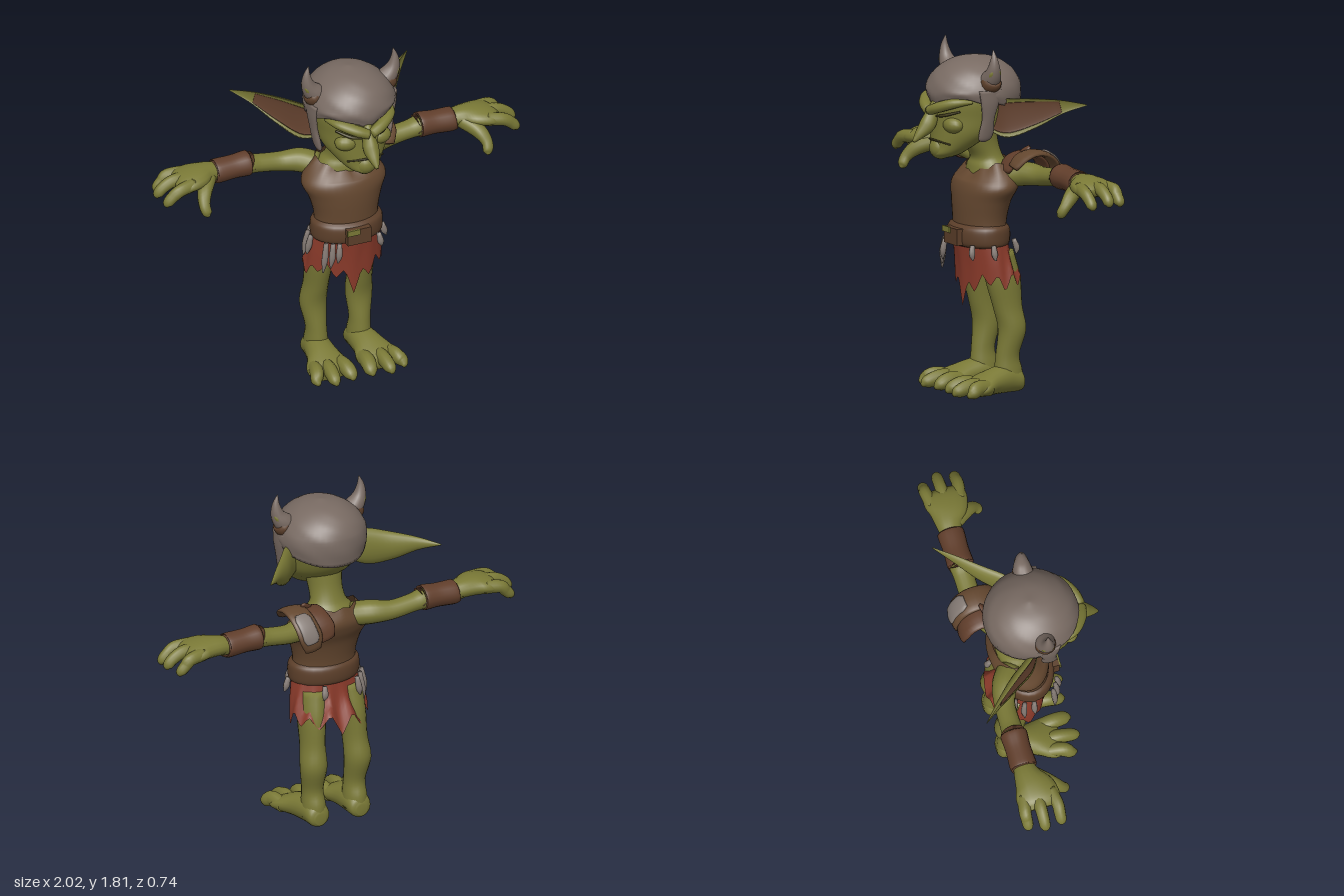
import * as THREE from 'three';

const mat = (name, color, side = THREE.FrontSide) => {
  const m = new THREE.MeshStandardMaterial({ color, side });
  m.name = name;
  return m;
};
const skin = mat('olive skin', 0x7a7936);
const leather = mat('brown leather', 0x64472f, THREE.DoubleSide);
const strap = mat('dark leather', 0x5c3f2a);
const wrap = mat('bracer leather', 0x613e2b);
const cloth = mat('red cloth', 0x8a3a2a, THREE.DoubleSide);
const iron = mat('helmet iron', 0x786a62, THREE.DoubleSide);
const bone = mat('grey bone', 0x847a74);
const earPink = mat('inner ear brown', 0x64422f);
const dark = mat('dark slit', 0x3f3a1c);

const X = new THREE.Vector3(1, 0, 0), Y = new THREE.Vector3(0, 1, 0);

// Smooth skin over sections [x, y, z, a, b]; a is the radius along `up`, b the other one
function loft(secs, { up = X, dir = null, n = 20, steps = 5, cap = true, bend = null, move = null } = {}) {
  const path = new THREE.CatmullRomCurve3(secs.map(s => new THREE.Vector3(s[0], s[1], s[2])), false, 'catmullrom');
  const size = new THREE.CatmullRomCurve3(secs.map(s => new THREE.Vector3(s[3], s[4], 0)), false, 'catmullrom');
  const rows = (secs.length - 1) * steps, pos = [], idx = [];
  for (let i = 0; i <= rows; i++) {
    const t = i / rows, p = path.getPoint(t), r = size.getPoint(t);
    const tan = dir || path.getTangent(t);
    const v = new THREE.Vector3().crossVectors(tan, up).normalize();
    const u = new THREE.Vector3().crossVectors(v, tan).normalize();
    for (let j = 0; j < n; j++) {
      const ang = j / n * Math.PI * 2, s = Math.sin(ang);
      const q = p.clone().addScaledVector(u, Math.cos(ang) * Math.max(r.x, 0.001))
        .addScaledVector(v, (bend ? bend(s) : s) * Math.max(r.y, 0.001));
      if (move) move(q, ang, t);
      pos.push(q.x, q.y, q.z);
      if (i < rows) {
        const k = (j + 1) % n, a = i * n + j, b = i * n + k;
        idx.push(a, b, b + n, a, b + n, a + n);
      }
    }
  }
  if (cap) {
    const c = pos.length / 3, e = rows * n, p0 = path.getPoint(0), p1 = path.getPoint(1);
    pos.push(p0.x, p0.y, p0.z, p1.x, p1.y, p1.z);
    for (let j = 0; j < n; j++) {
      const k = (j + 1) % n;
      idx.push(c, k, j, c + 1, e + j, e + k);
    }
  }
  const g = new THREE.BufferGeometry();
  g.setAttribute('position', new THREE.Float32BufferAttribute(pos, 3));
  g.setIndex(idx);
  g.computeVertexNormals();
  return g;
}

function add(group, name, geo, material) {
  const m = new THREE.Mesh(geo, material);
  m.name = name;
  group.add(m);
  return m;
}
const flip = (secs, s) => secs.map(([x, ...rest]) => [x * s, ...rest]);
const upright = { dir: Y, n: 28 };

function buildTorso(g) {
  add(g, 'neck', loft([[0, 1.09, -.07, .15, .1], [0, 1.17, -.08, .13, .1], [0, 1.22, -.07, .095, .08],
    [0, 1.3, -.035, .09, .09], [0, 1.42, 0, .11, .11]], upright), skin);
  // Tunic with a scooped neckline
  add(g, 'tunic', loft([[0, .8, -.03, .175, .122], [0, .9, -.03, .172, .125], [0, 1, -.04, .197, .135],
    [0, 1.07, -.06, .228, .146], [0, 1.13, -.08, .2, .14], [0, 1.2, -.085, .14, .105]],
  { ...upright, n: 36, cap: false, move: (p, a, t) => {
    const f = Math.max(0, -Math.sin(a));
    p.y -= Math.max(0, t - .7) / .3 * (.055 * f * f + .008 * Math.cos(a * 9));
  } }), leather);
  add(g, 'hips', loft([[0, .84, -.03, .15, .1], [0, .72, -.06, .16, .1], [0, .64, -.08, .11, .08]]
    .reverse(), upright), skin);
  add(g, 'belt', loft([[0, .765, -.025, .17, .12], [0, .78, -.025, .19, .142], [0, .82, -.025, .194, .148],
    [0, .86, -.025, .19, .142], [0, .88, -.025, .17, .12]], upright), strap);
  // Ragged skirt, one length per point of the hem
  const hem = [.26, .16, .24, .18, .25, .17, .29, .18, .27, .19, .24, .17, .26, .18, .22, .16, .25, .2, .35, .21, .27, .17, .23, .17];
  add(g, 'skirt', loft([[0, .82, -.03, .175, .12], [0, .7, -.05, .197, .125], [0, .6, -.08, .213, .15]],
    { ...upright, dir: Y.clone().negate(), n: 72, cap: false, move: (p) => {
      const a = Math.atan2((p.z + .06) / .7, p.x), k = ((-a / (Math.PI * 2) + 1) % 1) * 24, i = Math.floor(k);
      const len = THREE.MathUtils.lerp(hem[i % 24], hem[(i + 1) % 24], k - i);
      p.y = .82 - (.82 - p.y) / .22 * (len + .02);
    } }), cloth);
  // Buckle and hanging trinkets
  const buckle = add(g, 'buckle', new THREE.BoxGeometry(.13, .085, .035), strap);
  buckle.position.set(0, .82, .125);
  const plate = add(g, 'bucklePlate', new THREE.BoxGeometry(.07, .03, .008), skin);
  plate.position.set(-.035, .85, .146);
  const claws = [[-.1, .115], [-.13, .1], [-.16, .08], [-.195, -.03], [-.19, -.08], [-.16, -.12], [-.12, -.16], [.13, .09], [.19, 0], [.08, -.185]];
  claws.forEach(([x, z], i) => {
    const len = i < 7 ? .09 + .03 * (i % 3) : .06;
    add(g, 'clawCharm', loft([[x, .785, z, .012, .012], [x * 1.06, .77 - len * .5, z * 1.08, .018, .016],
      [x * 1.12, .77 - len, z * 1.05, .004, .004]], { n: 8, steps: 3 }), bone);
  });
}

function buildLeg(g, s) {
  add(g, 'leg', loft(flip([[.12, .05, -.135, .066, .075], [.12, .12, -.13, .06, .076], [.122, .2, -.125, .055, .063],
    [.128, .33, -.148, .07, .074], [.122, .45, -.125, .063, .08], [.115, .6, -.1, .068, .098],
    [.1, .74, -.075, .07, .09]], s), { ...upright, n: 20 }), skin);
  // Flat foot with splayed toes
  add(g, 'foot', loft(flip([[.12, .05, -.212, .03, .03], [.12, .062, -.19, .06, .058], [.122, .075, -.12, .07, .073],
    [.13, .068, -.03, .085, .066], [.14, .05, .06, .115, .048], [.143, .035, .12, .1, .03]], s),
  { n: 20, dir: new THREE.Vector3(0, 0, 1) , move: p => { p.y = Math.max(p.y, .003); } }), skin);
  for (const [x0, x1, z1, r] of [[.07, .055, .2, .04], [.145, .155, .218, .036], [.205, .24, .18, .036]])
    add(g, 'toe', loft(flip([[x0, .05, .03, r, .04], [(x0 + x1) / 2, .058, .11, r, .042], [x1, .04, z1 - .03, r * .85, .033],
      [x1, .025, z1, .01, .01]], s), { n: 12, move: p => { p.y = Math.max(p.y, .003); } }), skin);
}

function buildArm(g, s) {
  const o = { up: Y, n: 16 };
  add(g, 'arm', loft(flip([[.12, 1.13, -.13, .06, .07], [.2, 1.145, -.185, .062, .066], [.3, 1.145, -.215, .05, .054],
    [.42, 1.16, -.22, .047, .054], [.5, 1.17, -.22, .053, .06], [.7, 1.17, -.22, .047, .055]], s), o), skin);
  add(g, 'bracer', loft(flip([[.475, 1.175, -.22, .056, .062], [.485, 1.175, -.22, .066, .07], [.56, 1.172, -.22, .061, .066],
    [.655, 1.168, -.22, .063, .07], [.67, 1.168, -.22, .054, .06]], s), o), wrap);
  add(g, 'palm', loft(flip([[.65, 1.17, -.22, .045, .052], [.72, 1.178, -.215, .05, .072], [.79, 1.178, -.2, .05, .105],
    [.86, 1.17, -.195, .042, .112], [.9, 1.16, -.195, .018, .08]], s), o), skin);
  for (const [z, x, drop] of [[-.282, .97, .01], [-.2, 1, 0], [-.11, .985, .012]])
    add(g, 'finger', loft(flip([[.82, 1.175, -.2 + (z + .2) * .8, .036, .036], [.9, 1.178 - drop, z, .034, .032],
      [x - .04, 1.15 - drop, z, .031, .03], [x - .012, 1.12 - drop, z, .026, .026], [x - .006, 1.1 - drop, z, .008, .008]], s),
    { up: Y, n: 12 }), skin);
  add(g, 'thumb', loft(flip([[.7, 1.165, -.19, .035, .04], [.765, 1.13, -.11, .038, .04], [.79, 1.085, -.06, .03, .03],
    [.785, 1.045, -.035, .025, .025], [.78, 1.03, -.022, .006, .006]], s), { up: X, n: 12 }), skin);
}

// Overlapping arched plates over the left shoulder
function buildShoulderPad(g) {
  const arch = (x, w, r, from, to, thick) => {
    const pts = [];
    for (let i = 0; i <= 6; i++) {
      const a = from + (to - from) * i / 6;
      pts.push([x + .03 * Math.sin(a), 1.125 + r * Math.sin(a), -.2 + r * Math.cos(a), w * (i % 6 ? 1 : .7), thick]);
    }
    return loft(pts, { n: 12, steps: 3 });
  };
  add(g, 'shoulderPadInner', arch(.13, .07, .118, .3, 3.2, .016), wrap);
  add(g, 'shoulderPadOuter', arch(.22, .066, .136, .5, 3.45, .016), leather);
  add(g, 'shoulderPadPlate', arch(.225, .045, .152, 2, 3.1, .008), bone);
  add(g, 'shoulderPadFlange', loft([[.16, 1.21, -.16, .03, .012], [.18, 1.25, -.18, .035, .014], [.2, 1.285, -.2, .012, .008]],
    { n: 10 }), wrap);
}

function buildHead(g) {
  add(g, 'head', loft([[0, 1.235, .17, .03, .05], [0, 1.255, .165, .075, .085], [0, 1.3, .125, .122, .118],
    [0, 1.37, .06, .172, .178], [0, 1.45, .025, .19, .212], [0, 1.55, .012, .2, .228], [0, 1.64, .0, .16, .18]], upright), skin);
  add(g, 'chin', new THREE.SphereGeometry(.06, 16, 12), skin).position.set(0, 1.285, .2);
  add(g, 'nose', loft([[0, 1.52, .225, .025, .025], [0, 1.47, .25, .03, .035], [0, 1.41, .28, .042, .042],
    [0, 1.365, .325, .028, .026], [0, 1.33, .362, .008, .008]], { n: 14 }), skin);
  add(g, 'mouth', loft([[-.1, 1.315, .205, .004, .008], [0, 1.33, .248, .005, .008], [.1, 1.315, .205, .004, .008]],
    { up: Y, n: 8 }), dark);
  for (const s of [1, -1]) {
    add(g, 'brow', loft(flip([[.005, 1.485, .27, .025, .03], [.07, 1.51, .25, .028, .032], [.14, 1.535, .195, .024, .03],
      [.185, 1.54, .12, .008, .01]], s), { up: Y, n: 12 }), skin);
    add(g, 'eyeSlit', loft(flip([[.035, 1.457, .247, .005, .006], [.09, 1.468, .232, .008, .01], [.15, 1.49, .176, .005, .006]], s),
      { up: Y, n: 8 }), dark);
    const cheek = add(g, 'cheek', new THREE.SphereGeometry(1, 16, 12), skin);
    cheek.scale.set(.065, .045, .05);
    cheek.position.set(s * .09, 1.415, .18);
    // Long swept-back cupped ear
    const ear = [[.16, 1.44, .0, .07, .03], [.235, 1.45, -.05, .1, .045], [.32, 1.48, -.155, .078, .045],
      [.41, 1.515, -.265, .038, .026], [.497, 1.53, -.37, .003, .003]];
    add(g, 'ear', loft(flip(ear, s), { up: Y, bend: v => (v * s > 0 ? -.35 * v : v) }), skin);
    const inner = ear.map(([x, y, z, a, b]) => [x - .002, y, z - .002, a * .78, b * .8]);
    add(g, 'innerEar', loft(flip(inner.slice(0, 4), s), { up: Y, bend: v => (v * s > 0 ? -.15 * v : .4 * v) }), earPink);
  }
}

function buildHelmet(g) {
  // Dented dome, lower at the back and pointed over the brow
  add(g, 'helmet', loft([[0, 1.53, .008, .228, .238], [0, 1.58, .008, .237, .247], [0, 1.64, .006, .215, .224],
    [0, 1.69, .004, .17, .18], [0, 1.73, .002, .1, .11], [0, 1.75, 0, .01, .01]],
  { ...upright, n: 48, cap: true, move: (p, a, t) => {
    const f = -Math.sin(a), w = Math.max(0, (1.6 - p.y) / .07);
    p.y += w * (f < 0 ? .07 * f : .03 * f - .055 * Math.pow(Math.max(0, f), 30) + .008 * Math.sin(a * 7));
    const dent = 1 + .012 * Math.sin(a * 5 + t * 9) * Math.sin(t * 14 + a * 3);
    p.x *= dent;
    p.z *= dent;
  } }), iron);
  for (const s of [1, -1]) {
    add(g, 'cheekGuard', loft(flip([[.222, 1.6, .035, .016, .07], [.222, 1.53, .04, .018, .052], [.212, 1.45, .045, .018, .036],
      [.2, 1.385, .048, .018, .042], [.193, 1.345, .055, .014, .036], [.19, 1.33, .06, .004, .01]], s),
    { n: 14, dir: Y.clone().negate() }), iron);
    // Upturned horn on a leather and olive socket
    add(g, 'horn', loft(flip([[.16, 1.62, .025, .055, .055], [.21, 1.66, .025, .05, .05], [.238, 1.705, .028, .036, .036],
      [.246, 1.76, .03, .02, .02], [.237, 1.812, .03, .003, .003]], s), { n: 14 }), iron);
    add(g, 'hornSocket', loft(flip([[.17, 1.615, .025, .058, .058], [.215, 1.64, .025, .052, .054], [.235, 1.655, .025, .035, .04]], s),
      { n: 14 }), strap);
    const patch = add(g, 'hornPatch', new THREE.SphereGeometry(1, 14, 10), skin);
    patch.scale.set(.018, .042, .036);
    patch.position.set(s * .246, 1.68, .027);
    patch.rotation.z = -s * .45;
  }
}

export function createModel() {
  const model = new THREE.Group();
  model.name = 'goblin';
  const part = (name, x, ...builders) => {
    const g = new THREE.Group();
    g.name = name;
    g.position.x = x;
    builders.forEach(b => b(g));
    model.add(g);
  };
  part('torso', -.013, buildTorso);
  part('head', -.013, buildHead, buildHelmet);
  part('leftLeg', -.016, g => buildLeg(g, 1));
  part('rightLeg', -.016, g => buildLeg(g, -1));
  part('leftArm', 0, g => buildArm(g, 1), buildShoulderPad);
  part('rightArm', 0, g => buildArm(g, -1));
  return model;
}
